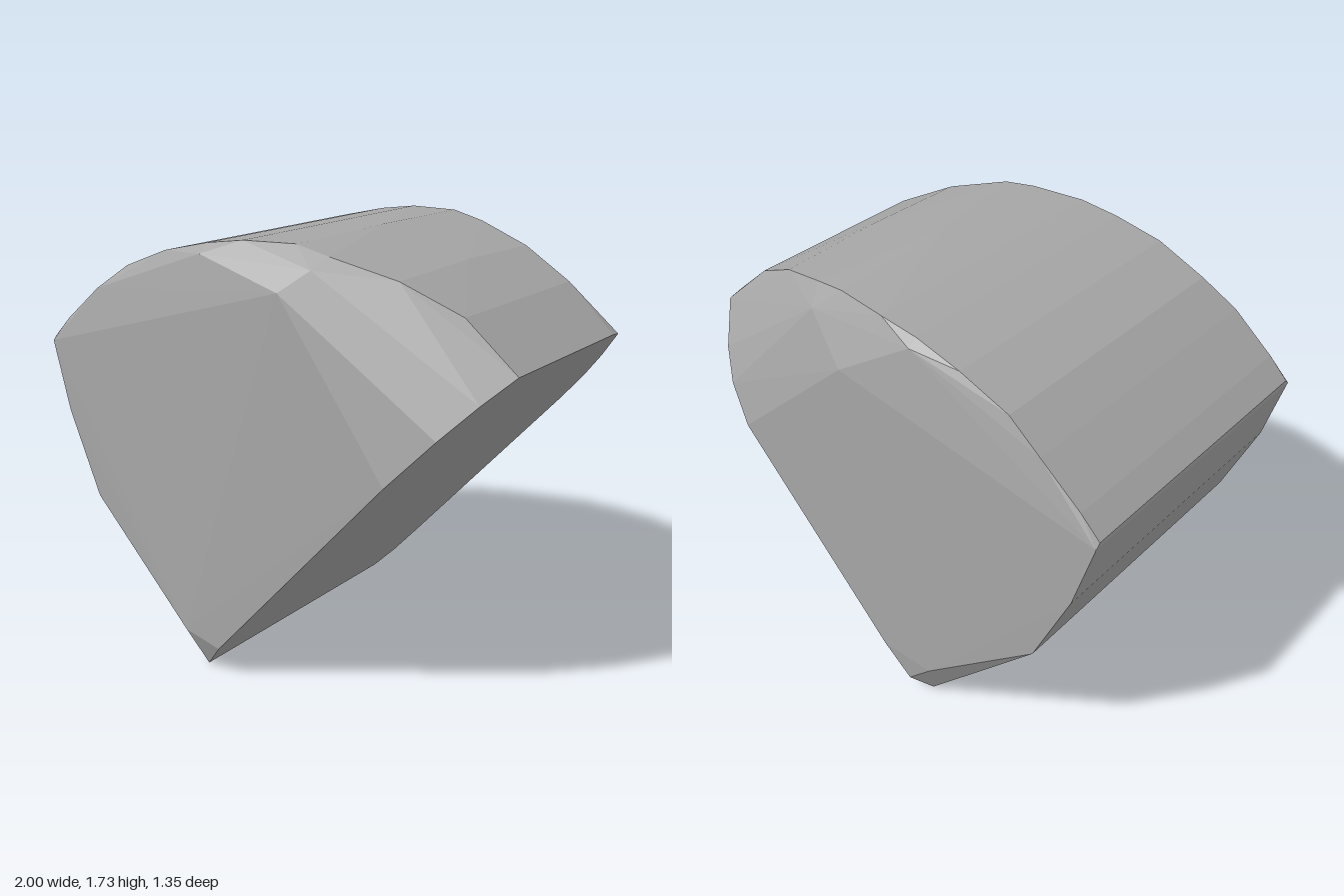
import * as THREE from 'three';
import { ConvexGeometry } from 'three/addons/geometries/ConvexGeometry.js';

// The sloping cut face is a plane: x follows from the height y
const cutX = (y) => -0.225 + 0.918 * y;

// Outline of the cut face as [z, y]
const cutOutline = [
  [0.61, 0], [0.675, 0.12], [0.675, 0.95], [0.61, 1.13], [0.52, 1.25], [0.4, 1.335],
  [-0.36, 1.335], [-0.43, 1.325], [-0.56, 1.2], [-0.63, 1.1], [-0.675, 0.97],
  [-0.672, 0.2], [-0.66, 0.07], [-0.59, 0],
];

// Sections along the crown and the left side as [x, y, front z, back z]
const sections = [
  [-0.77, 0.61, 0.635, -0.645],
  [-0.92, 0.95, 0.627, -0.638],
  [-1, 1.23, 0.62, -0.63],
  [-1, 1.25, 0.6, -0.61],
  [-0.92, 1.33, 0.6, -0.61],
  [-0.75, 1.47, 0.6, -0.61],
  [-0.61, 1.57, 0.57, -0.6],
  [-0.4, 1.65, 0.58, -0.6],
  [-0.2, 1.695, 0.57, -0.59],
  [-0.04, 1.717, 0.56, -0.59],
  [0.18, 1.72, 0.53, -0.56],
  [0.33, 1.69, 0.54, -0.53],
  [0.57, 1.62, 0.47, -0.46],
  [0.79, 1.51, 0.4, -0.4],
];

// Corners of the flat front and back sides
const sideCorners = [
  [-0.28, 0.16, 0.675], [0.2, 1.57, 0.672], [0.3, 1.65, 0.61], [-0.2, 1.66, 0.615],
  [-0.28, 0.2, -0.672], [0.1, 1.48, -0.678], [0.3, 1.62, -0.6], [-0.2, 1.67, -0.63],
];

export function createModel() {
  const points = sideCorners.map((p) => new THREE.Vector3(...p));
  for (const [z, y] of cutOutline) points.push(new THREE.Vector3(cutX(y), y, z));
  for (const [x, y, front, back] of sections) {
    points.push(new THREE.Vector3(x, y, front), new THREE.Vector3(x, y, back));
  }
  // Slight swell along the middle of the crown
  points.push(new THREE.Vector3(0.2, 1.73, 0), new THREE.Vector3(0.57, 1.632, 0));

  const stone = new THREE.MeshStandardMaterial({ color: 0xa6a6a6 });
  stone.name = 'stoneGrey';
  stone.flatShading = true;

  const rock = new THREE.Mesh(new ConvexGeometry(points), stone);
  rock.name = 'rockWedge';

  const model = new THREE.Group();
  model.name = 'rock';
  model.add(rock);
  return model;
}
